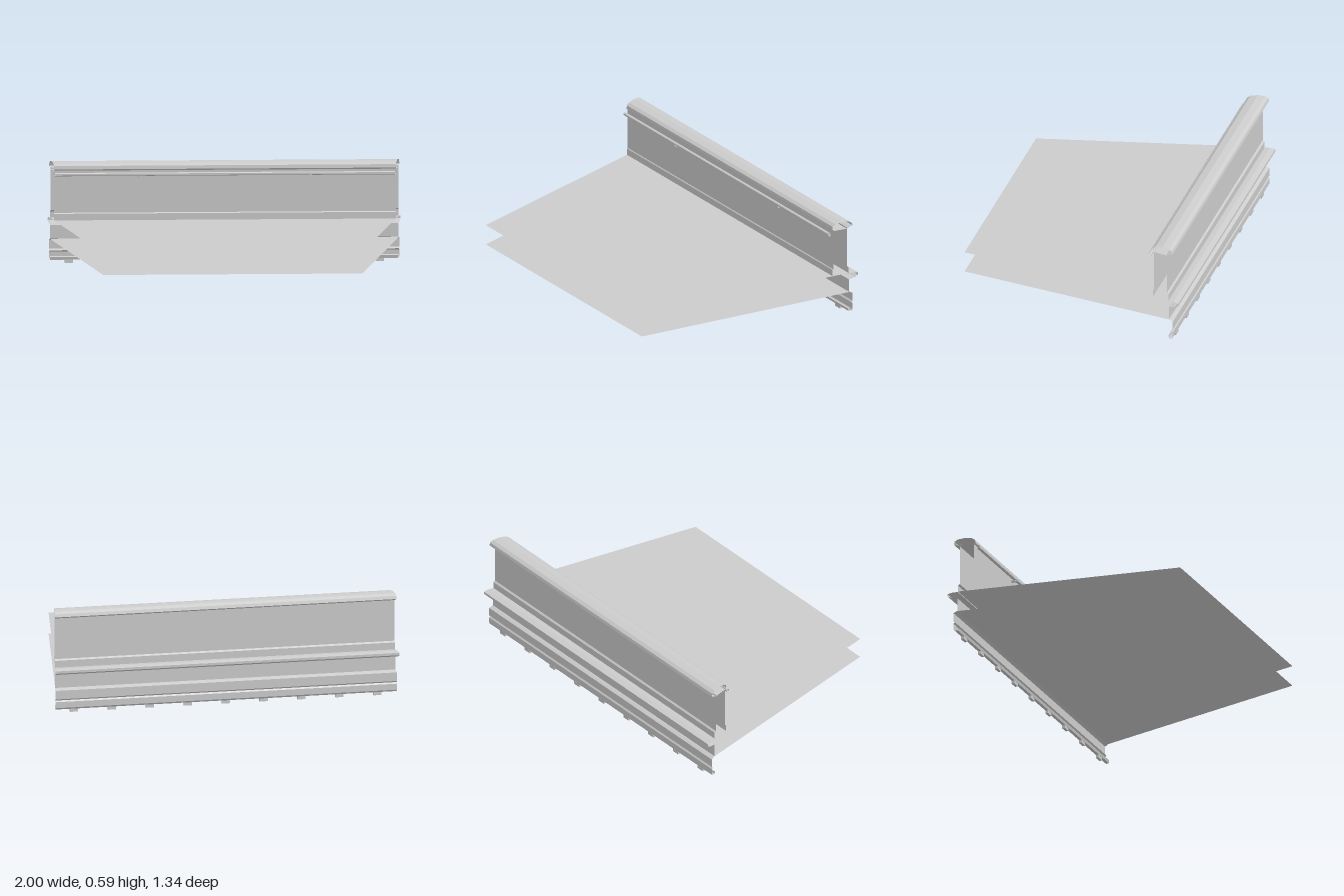
import * as THREE from 'three';

const material = new THREE.MeshStandardMaterial({ color: 0xcccccc, flatShading: true, side: THREE.DoubleSide });

// Half width of the mitred ring segment: a sixteenth of a circle, narrowing towards +z.
const halfWidth = z => 1 - Math.tan(Math.PI / 16) * (z + 0.67);

// Open-ended moulding: a [z, y] profile swept along x between the two mitre planes.
function moulding(name, profile, closed = false) {
  const points = closed ? [...profile, profile[0]] : profile;
  const positions = [];
  for (let i = 0; i < points.length - 1; i++) {
    const [z0, y0] = points[i], [z1, y1] = points[i + 1];
    const a = [-halfWidth(z0), y0, z0], b = [halfWidth(z0), y0, z0];
    const c = [halfWidth(z1), y1, z1], d = [-halfWidth(z1), y1, z1];
    positions.push(...a, ...b, ...c, ...a, ...c, ...d);
  }
  const geometry = new THREE.BufferGeometry();
  geometry.setAttribute('position', new THREE.Float32BufferAttribute(positions, 3));
  geometry.computeVertexNormals();
  const mesh = new THREE.Mesh(geometry, material);
  mesh.name = name;
  return mesh;
}

function block(name, size, position) {
  const mesh = new THREE.Mesh(new THREE.BoxGeometry(...size), material);
  mesh.position.set(...position);
  mesh.name = name;
  return mesh;
}

export function createModel() {
  const model = new THREE.Group();
  model.name = 'balconySegment';

  // Deck and the ceiling sheet beneath it
  model.add(moulding('deck', [[0.665, 0.26], [-0.61, 0.26]]));
  model.add(moulding('ceiling', [[0.665, 0.138], [-0.62, 0.138]]));

  // Parapet: inner face with skirting, outer face, and the coping on top
  model.add(moulding('innerParapet', [[-0.513, 0.26], [-0.513, 0.298], [-0.518, 0.303], [-0.518, 0.55]]));
  model.add(moulding('outerParapet', [[-0.6, 0.55], [-0.6, 0.305], [-0.61, 0.297], [-0.61, 0.255]]));
  model.add(moulding('coping', [
    [-0.518, 0.545], [-0.51, 0.553], [-0.513, 0.572], [-0.53, 0.584], [-0.572, 0.59],
    [-0.612, 0.585], [-0.63, 0.573], [-0.635, 0.556], [-0.618, 0.55], [-0.6, 0.542],
  ], true));

  // Outer cornice and stepped fascia, ending in a lip
  model.add(moulding('cornice', [
    [-0.61, 0.257], [-0.64, 0.257], [-0.67, 0.25], [-0.67, 0.236], [-0.65, 0.225], [-0.613, 0.218],
  ]));
  model.add(moulding('fascia', [
    [-0.613, 0.218], [-0.613, 0.14], [-0.636, 0.128], [-0.636, 0.078], [-0.628, 0.07],
    [-0.636, 0.062], [-0.636, 0.027], [-0.63, 0.018], [-0.612, 0.018], [-0.608, 0.034], [-0.618, 0.038],
  ]));

  // Handrail on its two brackets
  model.add(moulding('handrail', [
    [-0.486, 0.521], [-0.486, 0.531], [-0.491, 0.535], [-0.499, 0.535],
    [-0.504, 0.531], [-0.504, 0.521], [-0.499, 0.517], [-0.491, 0.517],
  ], true));
  for (const x of [-0.486, 0.482]) {
    model.add(block('railBracket', [0.014, 0.009, 0.028], [x, 0.513, -0.501]));
  }

  // Row of small blocks under the fascia
  for (let i = -4; i <= 4; i++) {
    model.add(block('dentil', [0.046, 0.018, 0.017], [i * 0.2205, 0.009, -0.622]));
  }
  return model;
}
